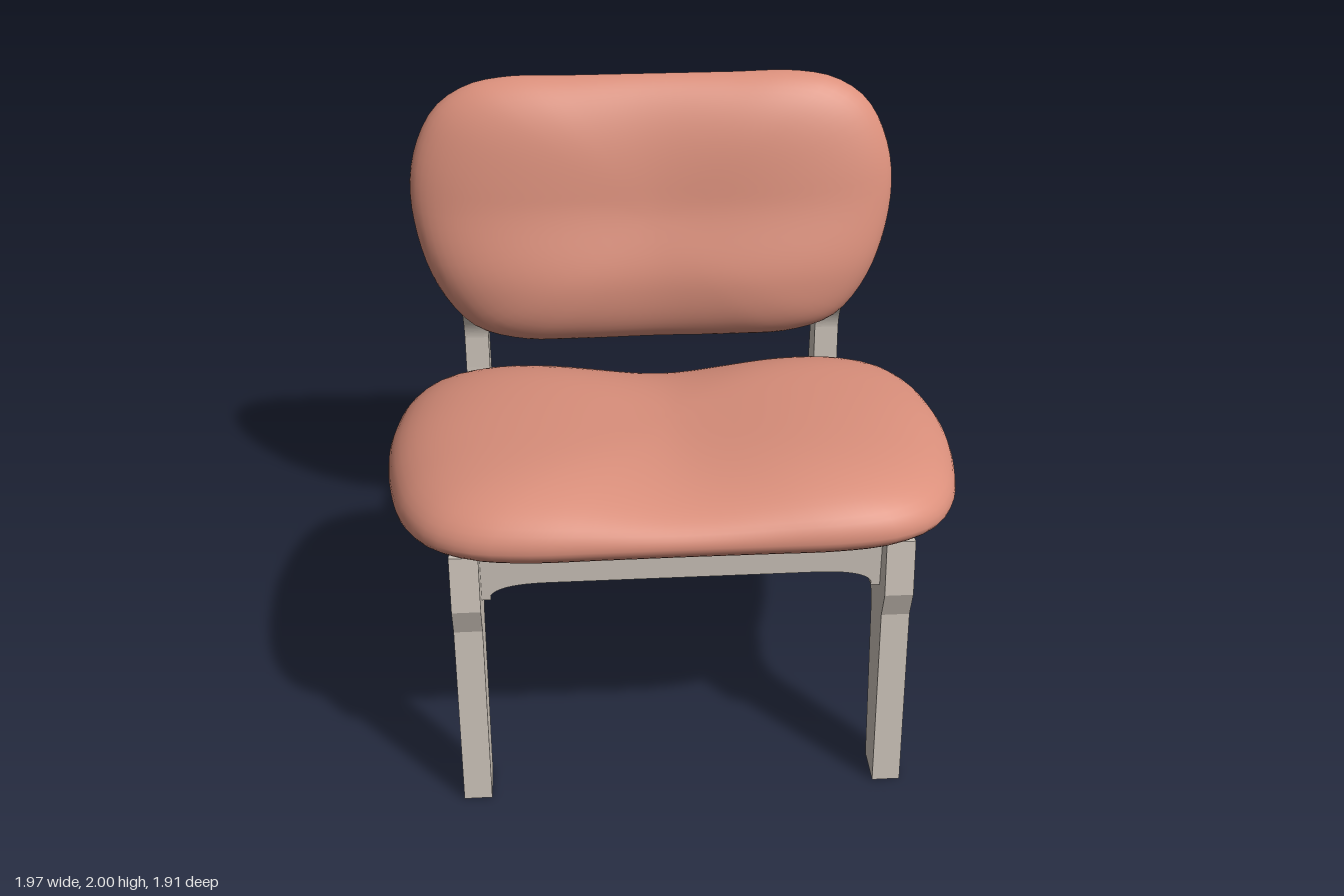
import * as THREE from 'three';
import { mergeVertices } from 'three/addons/utils/BufferGeometryUtils.js';

const wood = new THREE.MeshStandardMaterial({ color: 0xcfc6bc });
wood.name = 'pale wood';
const fabric = new THREE.MeshStandardMaterial({ color: 0xdb907c });
fabric.name = 'coral fabric';

function named(name, geometry, material) {
  const mesh = new THREE.Mesh(geometry, material);
  mesh.name = name;
  return mesh;
}

// Pillow in a local u, v, h frame: rings of a mirrored outline shrink towards
// the centre while the height swells from the rim line on both faces.
function cushion(half, centreV, over, under, place) {
  const left = half.slice(1, -1).reverse().map(([u, v]) => [-u, v]);
  const curve = new THREE.CatmullRomCurve3(
    [...half, ...left].map(([u, v]) => new THREE.Vector3(u, v, 0)), true);
  const N = 96, J = 40, positions = [], index = [];
  const rim = curve.getSpacedPoints(N);
  for (let j = 0; j <= J; j++) {
    const phi = (j / J) * Math.PI;
    const s = j === 0 || j === J ? 0 : Math.sin(phi);
    for (let i = 0; i < N; i++) {
      const du = rim[i].x, dv = rim[i].y - centreV;
      const side = (du * du) / (du * du + dv * dv);
      const u = du * s, v = centreV + dv * s;
      const face = j <= J / 2 ? over : under;
      const bulge = Math.sqrt(Math.max(0, 1 - s ** (face.power + face.sidePower * side)));
      const h = bulge * face.depth(u, v) * (face === over ? 1 : -1);
      positions.push(...place(u, v, h));
      if (j < J) {
        const k = (i + 1) % N;
        const a = j * N + i, b = a + N, c = (j + 1) * N + k, d = j * N + k;
        if (j < J - 1) index.push(a, b, c);
        if (j > 0) index.push(a, c, d);
      }
    }
  }
  const geometry = new THREE.BufferGeometry();
  geometry.setAttribute('position', new THREE.Float32BufferAttribute(positions, 3));
  geometry.setIndex(index);
  const merged = mergeVertices(geometry, 1e-5);
  merged.computeVertexNormals();
  return merged;
}

// Seat: v runs towards the rear, h is up
function seatGeometry() {
  const half = [[0, -0.953], [0.28, -0.953], [0.52, -0.95], [0.69, -0.92], [0.82, -0.84],
    [0.91, -0.69], [0.965, -0.45], [0.987, -0.2], [0.978, -0.02], [0.945, 0.17], [0.87, 0.32],
    [0.74, 0.395], [0.56, 0.415], [0.3, 0.395], [0, 0.367]];
  const over = { power: 2.5, sidePower: 2, depth: (u) => 0.197 - 0.035 * Math.exp(-((u / 0.3) ** 2)) };
  const under = { power: 3.5, sidePower: 1, depth: () => 0.117 };
  return cushion(half, -0.27, over, under, (u, v, h) => [u, 0.939 - 0.095 * v + h, -v]);
}

// Backrest: v is up, h faces forward
function backGeometry() {
  const half = [[0, 1], [0.3, 1], [0.54, 1.01], [0.7, 1.06], [0.8, 1.16], [0.88, 1.32],
    [0.925, 1.56], [0.9, 1.74], [0.82, 1.89], [0.7, 1.97], [0.55, 2], [0.3, 2], [0, 2]];
  const over = {
    power: 3, sidePower: 1,
    depth: (u, v) => 0.156 + 0.042 * (1 - THREE.MathUtils.smoothstep(v, 1.25, 1.58))
      - 0.022 * Math.exp(-((u / 0.32) ** 2)),
  };
  const under = { power: 6, sidePower: 0, depth: () => 0.054 };
  return cushion(half, 1.5, over, under, (u, v, h) => [u, v, -0.62 - 0.18 * (v - 1) + h]);
}

// Side frame outline: horizontal is z, vertical is y
function frameGeometry() {
  const s = new THREE.Shape();
  s.moveTo(0.9, 0);
  s.lineTo(0.85, 0.67);
  s.lineTo(0.882, 0.77);
  s.lineTo(0.858, 0.965);
  // edge hidden beneath the seat
  s.lineTo(0.4, 0.9);
  s.lineTo(0, 0.87);
  s.lineTo(-0.33, 0.86);
  s.lineTo(-0.35, 0.83);
  s.lineTo(-0.42, 0.73);
  s.lineTo(-0.67, 0.703);
  s.bezierCurveTo(-0.73, 0.697, -0.755, 0.74, -0.758, 0.8);
  s.lineTo(-0.766, 0.93);
  s.quadraticCurveTo(-0.765, 0.965, -0.745, 1);
  s.lineTo(-0.67, 1.12);
  // rear post carrying the backrest
  s.lineTo(-0.772, 1.6);
  s.lineTo(-0.785, 1.595);
  s.lineTo(-0.835, 1.555);
  s.lineTo(-0.955, 0);
  s.lineTo(-0.865, 0);
  s.lineTo(-0.782, 0.44);
  s.bezierCurveTo(-0.765, 0.53, -0.71, 0.567, -0.63, 0.576);
  s.lineTo(0.56, 0.685);
  s.bezierCurveTo(0.62, 0.688, 0.672, 0.65, 0.68, 0.58);
  s.lineTo(0.76, 0);
  s.closePath();
  const g = new THREE.ExtrudeGeometry(s, { depth: 0.095, bevelEnabled: false, curveSegments: 10 });
  return g.rotateY(-Math.PI / 2);
}

// Arched tray under the seat, sloping down to a slanted rear face
function trayGeometry() {
  const s = new THREE.Shape();
  s.moveTo(-0.665, 0.88);
  s.lineTo(-0.665, 0.678);
  s.lineTo(-0.63, 0.678);
  s.lineTo(-0.63, 0.695);
  s.bezierCurveTo(-0.61, 0.728, -0.53, 0.738, -0.44, 0.738);
  s.lineTo(0.44, 0.738);
  s.bezierCurveTo(0.53, 0.738, 0.61, 0.728, 0.63, 0.695);
  s.lineTo(0.63, 0.678);
  s.lineTo(0.665, 0.678);
  s.lineTo(0.665, 0.88);
  s.closePath();
  const g = new THREE.ExtrudeGeometry(s, { depth: 1, bevelEnabled: false, curveSegments: 10 });
  const p = g.attributes.position;
  for (let i = 0; i < p.count; i++) {
    const rear = -0.41 + 0.6 * Math.max(0, p.getY(i) - 0.76);
    const z = THREE.MathUtils.lerp(rear, 0.79, p.getZ(i));
    p.setZ(i, z);
    p.setY(i, p.getY(i) + 0.093 * z);
  }
  g.computeVertexNormals();
  return g;
}

export function createModel() {
  const chair = new THREE.Group();
  chair.name = 'lounge chair';
  const frame = frameGeometry();
  for (const [name, x] of [['leftFrame', 0.755], ['rightFrame', -0.66]]) {
    const mesh = named(name, frame, wood);
    mesh.position.x = x;
    chair.add(mesh);
  }
  chair.add(
    named('seatTray', trayGeometry(), wood),
    named('seatCushion', seatGeometry(), fabric),
    named('backCushion', backGeometry(), fabric),
  );
  return chair;
}
